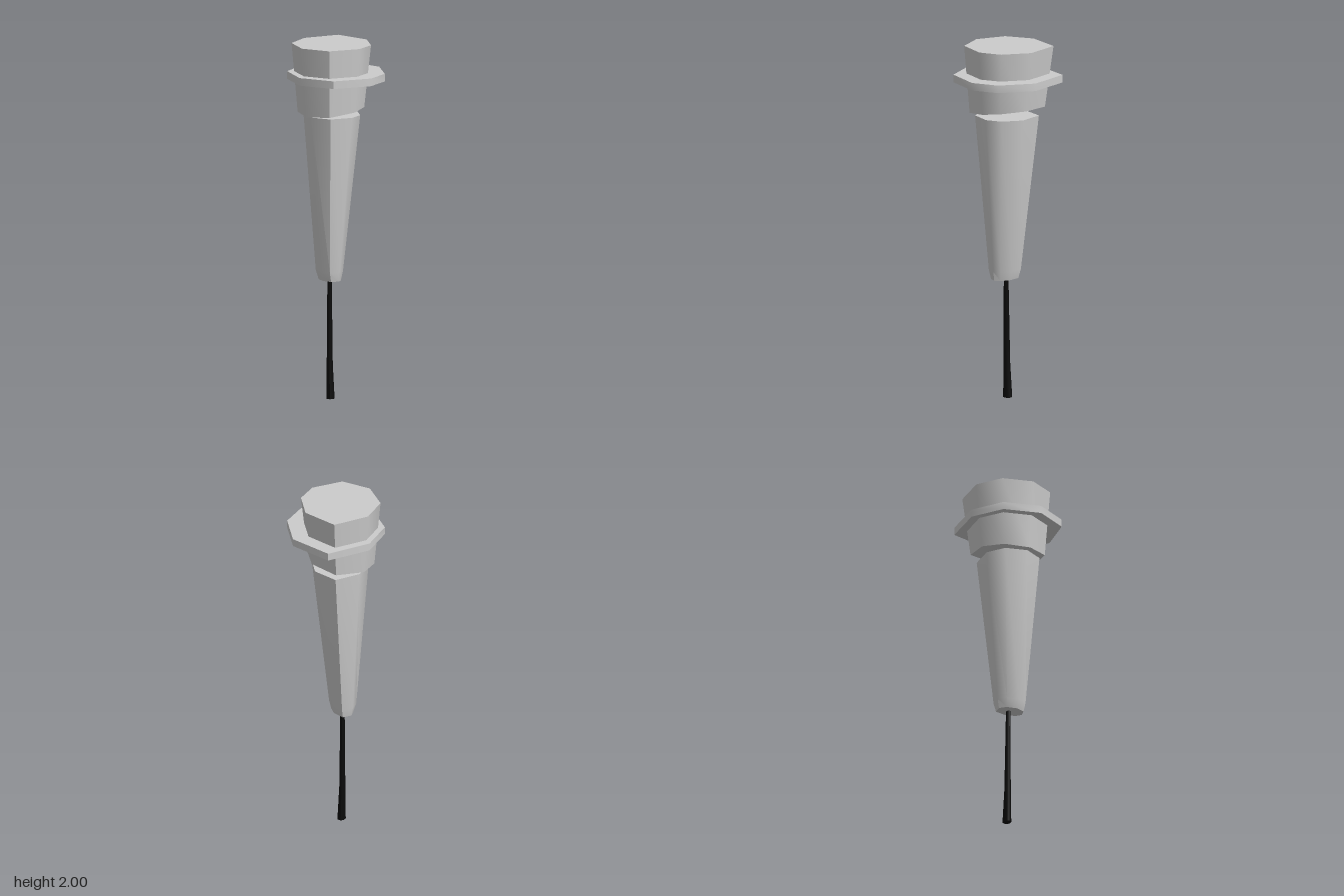
import * as THREE from 'three';
import { toCreasedNormals } from 'three/addons/utils/BufferGeometryUtils.js';

// Irregular octagon outlines as [x, z]
const headOutline = [[-0.057, -0.247], [0.151, -0.222], [0.207, -0.02], [0.134, 0.135],
  [0.018, 0.196], [-0.16, 0.162], [-0.242, 0.011], [-0.199, -0.159]];
const collarOutline = [[-0.05, -0.273], [0.205, -0.243], [0.275, 0.003], [0.185, 0.196],
  [0.045, 0.27], [-0.174, 0.227], [-0.277, 0.042], [-0.223, -0.166]];

// The head outline scaled to span the given x and z ranges at height y (number or function of x)
function fitRing(y, x0, x1, z0, z1) {
  return headOutline.map(([px, pz]) => {
    const x = x0 + (px + 0.242) / 0.449 * (x1 - x0);
    const z = z0 + (pz + 0.247) / 0.443 * (z1 - z0);
    return [x, typeof y === 'function' ? y(x) : y, z];
  });
}

// Closed solid through rings listed from bottom to top
function loft(rings, color, name) {
  const pos = [];
  const n = rings[0].length;
  const tri = (a, b, c) => pos.push(...a, ...b, ...c);
  for (let r = 0; r < rings.length - 1; r++) {
    const lo = rings[r], hi = rings[r + 1];
    for (let i = 0; i < n; i++) {
      const j = (i + 1) % n;
      tri(lo[i], hi[i], hi[j]);
      tri(lo[i], hi[j], lo[j]);
    }
  }
  const base = rings[0], top = rings[rings.length - 1];
  for (let i = 1; i < n - 1; i++) {
    tri(base[0], base[i], base[i + 1]);
    tri(top[0], top[i + 1], top[i]);
  }
  const geo = new THREE.BufferGeometry();
  geo.setAttribute('position', new THREE.Float32BufferAttribute(pos, 3));
  const mesh = new THREE.Mesh(toCreasedNormals(geo, 0.82),
    new THREE.MeshStandardMaterial({ color }));
  mesh.name = name;
  return mesh;
}

export function createModel() {
  const group = new THREE.Group();
  const grey = 0xcccccc;

  // Head block with a slanted underside
  group.add(loft([
    fitRing(x => 1.61 + (x + 0.21) * 0.134, -0.21, 0.163, -0.21, 0.167),
    fitRing(2, -0.242, 0.207, -0.247, 0.196),
  ], grey, 'head'));

  // Flat collar around the head
  group.add(loft([1.8, 1.843].map(y => collarOutline.map(([x, z]) => [x, y, z])), grey, 'collar'));

  // Tapered handle with a narrowed tip
  group.add(loft([
    fitRing(0.673, -0.09, 0.018, -0.098, 0.055),
    fitRing(0.725, -0.108, 0.034, -0.108, 0.063),
    fitRing(1.605, -0.18, 0.14, -0.177, 0.14),
  ], grey, 'handle'));

  // Thin black cord, flaring towards its end
  group.add(loft([
    fitRing(0, -0.047, 0.002, -0.056, -0.013),
    fitRing(0.2, -0.046, -0.01, -0.049, -0.018),
    fitRing(0.68, -0.044, -0.018, -0.042, -0.02),
  ], 0x0a0a0a, 'cord'));

  return group;
}
